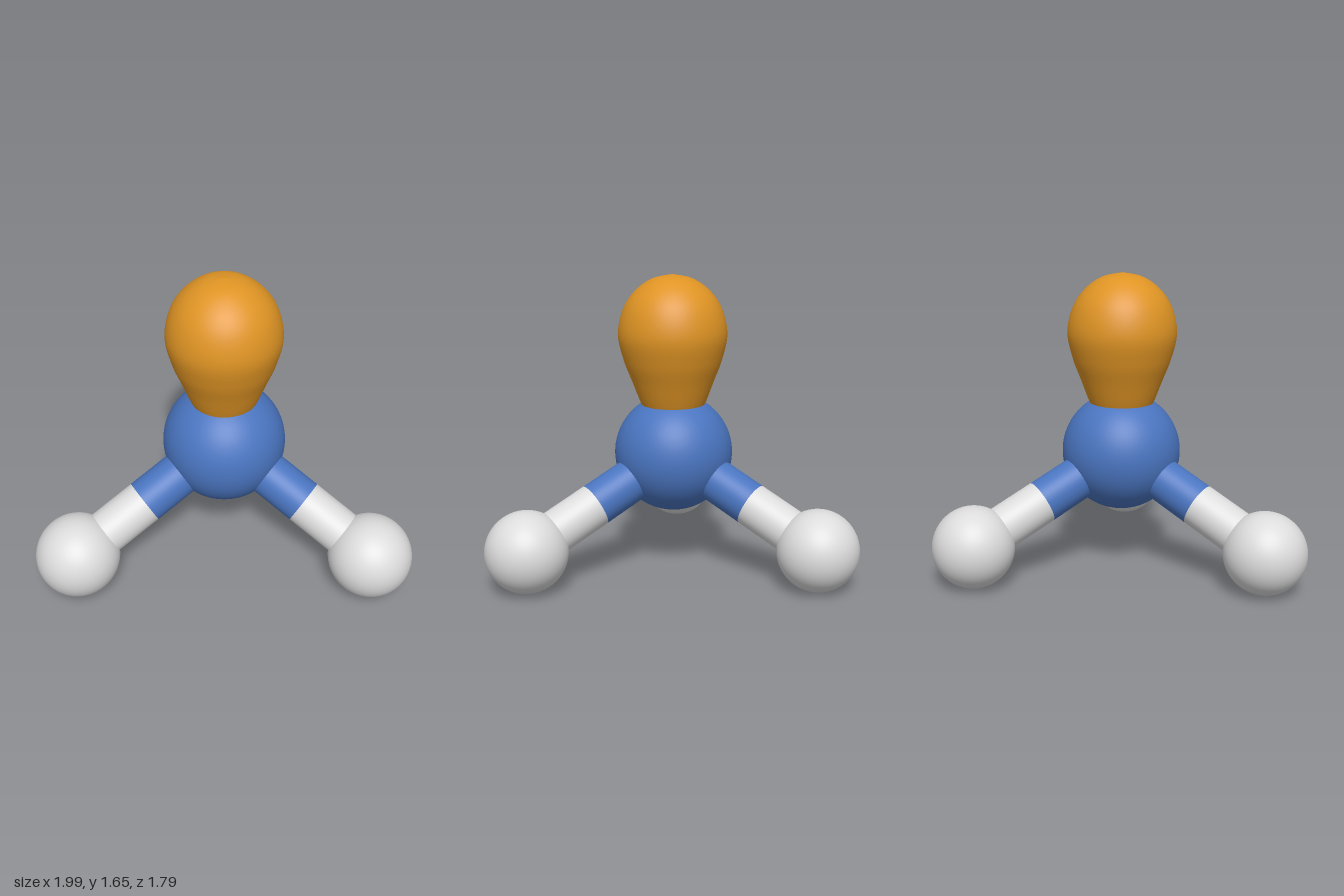
import * as THREE from 'three';

const blue = new THREE.MeshStandardMaterial({ name: 'blue', color: 0x4a75c0 });
const lightGrey = new THREE.MeshStandardMaterial({ name: 'light grey', color: 0xdcdcdc });
const orange = new THREE.MeshStandardMaterial({ name: 'orange', color: 0xdf9424 });

const CENTRE = new THREE.Vector3(0, 0.655, 0.222);
const CORE_R = 0.33, OUTER_R = 0.222, BOND_R = 0.12;
const REACH = 0.895; // horizontal distance from central to outer atoms

function sphere(name, radius, position, material) {
  const mesh = new THREE.Mesh(new THREE.SphereGeometry(radius, 64, 40), material);
  mesh.name = name;
  mesh.position.copy(position);
  return mesh;
}

// Cylinder joining two points
function rod(name, from, to, material) {
  const dir = to.clone().sub(from);
  const mesh = new THREE.Mesh(new THREE.CylinderGeometry(BOND_R, BOND_R, dir.length(), 48, 1, true), material);
  mesh.name = name;
  mesh.position.copy(from).addScaledVector(dir, 0.5);
  mesh.quaternion.setFromUnitVectors(new THREE.Vector3(0, 1, 0), dir.normalize());
  return mesh;
}

export function createModel() {
  const model = new THREE.Group();
  model.name = 'pyramidalMolecule';
  model.add(sphere('centralAtom', CORE_R, CENTRE, blue));

  // Three arms, one to the back and two to the front
  ['backArm', 'leftArm', 'rightArm'].forEach((name, i) => {
    const a = -Math.PI / 2 + i * Math.PI * 2 / 3;
    const end = new THREE.Vector3(
      Math.cos(a) * REACH, OUTER_R, CENTRE.z + Math.sin(a) * REACH);
    const middle = CENTRE.clone().lerp(end, 0.55);
    const arm = new THREE.Group();
    arm.name = name;
    arm.add(
      rod('innerBond', CENTRE.clone().lerp(end, 0.2), middle, blue),
      rod('outerBond', middle, end, lightGrey),
      sphere('outerAtom', OUTER_R, end, lightGrey));
    model.add(arm);
  });

  // Teardrop lobe above the central atom
  const profile = new THREE.SplineCurve([
    [0.125, 0.82], [0.178, 0.932], [0.227, 1.06], [0.272, 1.18], [0.301, 1.32],
    [0.275, 1.453], [0.212, 1.553], [0.115, 1.624], [0, 1.65],
  ].map(([r, y]) => new THREE.Vector2(r, y)));
  const points = profile.getPoints(64);
  points[points.length - 1].x = 0;
  const lobe = new THREE.Mesh(new THREE.LatheGeometry(points, 64), orange);
  lobe.name = 'lonePairLobe';
  lobe.position.z = CENTRE.z;
  model.add(lobe);

  return model;
}
